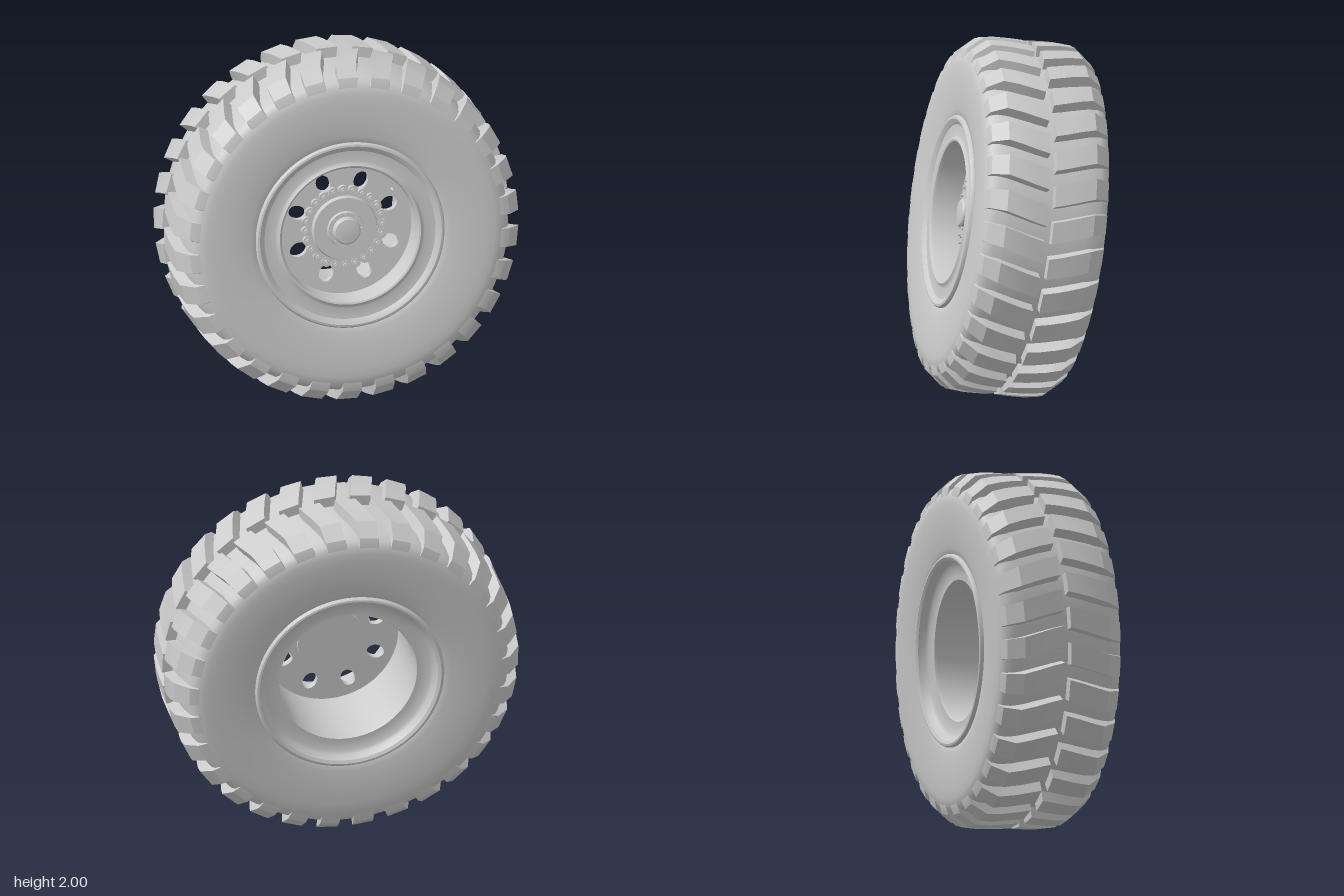
import * as THREE from 'three';
import { mergeGeometries, toCreasedNormals } from 'three/addons/utils/BufferGeometryUtils.js';

const smooth = new THREE.MeshStandardMaterial({ color: 0xcccccc });
const open = new THREE.MeshStandardMaterial({ color: 0xcccccc, side: THREE.DoubleSide });
const flat = new THREE.MeshStandardMaterial({ color: 0xcccccc, flatShading: true });

const TILT = THREE.MathUtils.degToRad(-8);
const LUGS = 30;

function part(name, geometry, material = smooth) {
  const mesh = new THREE.Mesh(geometry, material);
  mesh.name = name;
  return mesh;
}

// Revolve [axial, radius] points around the z axis
function revolve(points, segments) {
  const g = new THREE.LatheGeometry(points.map(([a, r]) => new THREE.Vector2(r, a)), segments);
  return g.rotateX(Math.PI / 2);
}

// Half profile (outer end to middle) mirrored to a full, back-to-front profile
function mirrored(half) {
  return [...half.map(([a, r]) => [-a, r]), ...half.slice().reverse()];
}

// Cylinder along z, from axial position a0 to a1
function disc(r0, r1, a0, a1, segments, x = 0, y = 0) {
  const g = new THREE.CylinderGeometry(r1, r0, a1 - a0, segments);
  return g.rotateX(Math.PI / 2).translate(x, y, (a0 + a1) / 2);
}

// Cylinders spaced evenly on a circle
function ringOf(count, radius, r, a0, a1, segments) {
  return mergeGeometries(Array.from({ length: count }, (_, i) => {
    const t = (i / count) * Math.PI * 2;
    return disc(r, r, a0, a1, segments, Math.cos(t) * radius, Math.sin(t) * radius);
  }));
}

// One tread lug swept from the centre groove over the shoulder
function lugGeometry(side) {
  // axial position, outer radius, base radius, angular shift
  const stations = [
    [0.018, 0.98, 0.90, 0], [0.09, 0.983, 0.90, 0.018], [0.17, 0.983, 0.90, 0.042],
    [0.25, 0.975, 0.89, 0.066], [0.332, 0.908, 0.85, 0.077], [0.347, 0.862, 0.83, 0.077],
  ];
  const pos = [], idx = [];
  for (const [a, top, base, shift] of stations) {
    for (const [r, w] of [[base, -0.07], [top, -0.06], [top, 0.06], [base, 0.07]]) {
      pos.push(r * Math.cos(shift + w), r * Math.sin(shift + w), side * a);
    }
  }
  const quad = (a, b, c, d) => (side > 0 ? idx.push(a, b, c, a, c, d) : idx.push(a, c, b, a, d, c));
  const last = (stations.length - 1) * 4;
  for (let i = 0; i < last; i += 4) {
    for (let k = 0; k < 4; k++) {
      const n = (k + 1) % 4;
      quad(i + k, i + n, i + 4 + n, i + 4 + k);
    }
  }
  quad(3, 2, 1, 0);
  quad(last, last + 1, last + 2, last + 3);
  const g = new THREE.BufferGeometry();
  g.setAttribute('position', new THREE.Float32BufferAttribute(pos, 3));
  g.setIndex(idx);
  return toCreasedNormals(g, 0.4);
}

function treadRow(side, phase) {
  const lug = lugGeometry(side);
  return mergeGeometries(Array.from({ length: LUGS }, (_, i) =>
    lug.clone().rotateZ(phase + (i / LUGS) * Math.PI * 2)));
}

// Wheel plate with eight oval openings
function plateGeometry() {
  const shape = new THREE.Shape().absarc(0, 0, 0.384, 0, Math.PI * 2);
  for (let i = 0; i < 8; i++) {
    const t = (i + 0.5) * Math.PI / 4;
    const hole = new THREE.Path();
    hole.absellipse(Math.cos(t) * 0.28, Math.sin(t) * 0.28, 0.05, 0.04, 0, Math.PI * 2, true, t);
    shape.holes.push(hole);
  }
  const g = new THREE.ExtrudeGeometry(shape, { depth: 0.04, bevelEnabled: false, curveSegments: 48 });
  return toCreasedNormals(g.translate(0, 0, 0.14), 0.6);
}

export function createModel() {
  const model = new THREE.Group();
  model.name = 'wheel';
  const wheel = new THREE.Group();
  wheel.name = 'tiltedWheel';
  wheel.rotation.x = TILT;
  wheel.position.y = 1;
  model.add(wheel);

  // Tyre body and two staggered rows of lugs
  wheel.add(part('tyre', revolve(mirrored([
    [0.30, 0.49], [0.332, 0.525], [0.342, 0.57], [0.35, 0.63], [0.355, 0.70], [0.356, 0.77],
    [0.354, 0.82], [0.346, 0.858], [0.328, 0.885], [0.29, 0.905], [0.22, 0.916], [0.12, 0.92],
  ]), 128)));
  wheel.add(part('frontTread', treadRow(1, 0.009)));
  wheel.add(part('rearTread', treadRow(-1, 0.12)));

  // Rim: rolled lips, stepped rear seat, deep barrel and shallow front face
  const rim = revolve([
    [-0.32, 0.535], [-0.343, 0.534], [-0.354, 0.526], [-0.356, 0.515], [-0.346, 0.498],
    [-0.31, 0.482], [-0.298, 0.465], [-0.29, 0.415], [-0.29, 0.392], [-0.27, 0.384],
    [0.325, 0.384], [0.34, 0.39], [0.344, 0.4], [0.334, 0.412], [0.33, 0.425], [0.335, 0.485],
    [0.348, 0.5], [0.356, 0.515], [0.354, 0.526], [0.343, 0.534], [0.32, 0.535],
  ], 96);
  wheel.add(part('rim', toCreasedNormals(rim, 0.6), open));
  wheel.add(part('wheelPlate', plateGeometry()));

  // Hub with bolted scalloped flange
  const hub = new THREE.Group();
  hub.name = 'hub';
  hub.add(
    part('hubBack', disc(0.19, 0.19, 0.11, 0.17, 48)),
    part('flange', disc(0.215, 0.215, 0.17, 0.2, 64)),
    part('flangeBosses', ringOf(24, 0.217, 0.027, 0.17, 0.205, 14)),
    part('flangeNuts', ringOf(24, 0.217, 0.017, 0.205, 0.219, 6), flat),
    part('flangeStuds', ringOf(24, 0.217, 0.008, 0.219, 0.229, 8)),
    part('hubFace', disc(0.187, 0.178, 0.195, 0.225, 64)),
    part('capBase', disc(0.105, 0.1, 0.22, 0.245, 48)),
    part('capBolts', ringOf(8, 0.088, 0.009, 0.245, 0.253, 6), flat),
    part('cap', toCreasedNormals(revolve([
      [0.24, 0.078], [0.268, 0.076], [0.277, 0.068], [0.281, 0.035], [0.282, 0],
    ], 40), 0.6)),
  );
  wheel.add(hub);

  // Air valve near the edge of the plate
  wheel.add(part('valve', disc(0.009, 0.007, 0.175, 0.22, 10, 0.28, 0.19)));
  return model;
}
